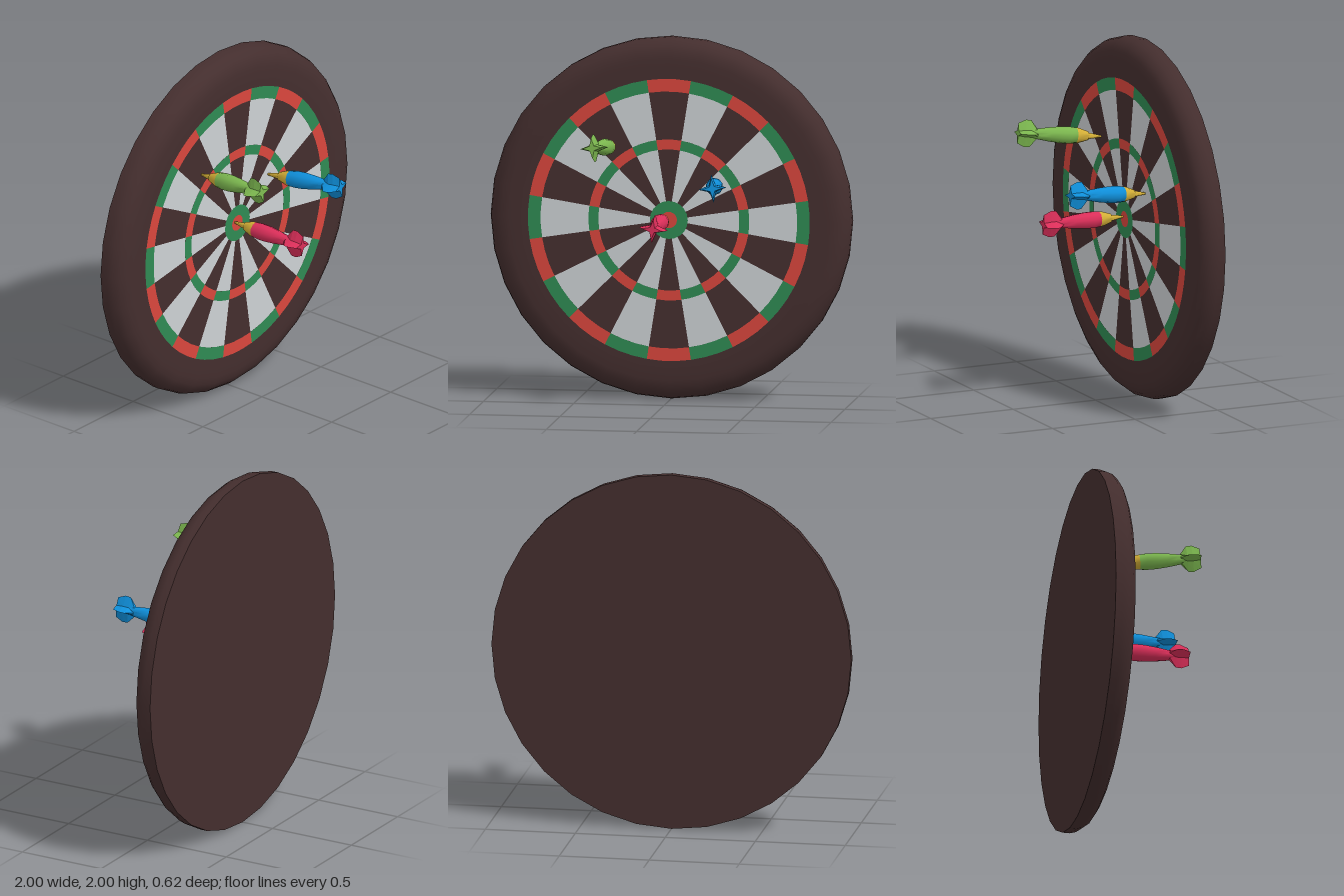
import * as THREE from 'three';
import { mergeGeometries, toCreasedNormals } from 'three/addons/utils/BufferGeometryUtils.js';

const mat = (name, color) => {
  const m = new THREE.MeshStandardMaterial({ color });
  m.name = name;
  return m;
};

const add = (parent, name, geometry, material) => {
  const mesh = new THREE.Mesh(geometry, material);
  mesh.name = name;
  parent.add(mesh);
  return mesh;
};

// Lathe about the z axis from [radius, z] pairs running towards +z
const turned = (profile, sides, crease) => {
  const g = new THREE.LatheGeometry(profile.map(([r, z]) => new THREE.Vector2(r, z)), sides);
  g.rotateX(Math.PI / 2);
  return toCreasedNormals(g, crease);
};

// Four-pointed star cross-sections [z, outer, inner] joined along z, faceted
function flightGeometry(sections) {
  const pos = [];
  const ring = ([z, outer, inner]) => Array.from({ length: 8 }, (_, i) => {
    const a = (i * Math.PI) / 4, r = i % 2 ? inner : outer;
    return [r * Math.cos(a), r * Math.sin(a), z];
  });
  const rings = sections.map(ring);
  const last = rings[rings.length - 1];
  const end = [0, 0, sections[sections.length - 1][0]];
  for (let i = 0; i < 8; i++) {
    const j = (i + 1) % 8;
    for (let k = 0; k < rings.length - 1; k++) {
      const a = rings[k][i], b = rings[k][j], c = rings[k + 1][j], d = rings[k + 1][i];
      pos.push(...a, ...b, ...c, ...a, ...c, ...d);
    }
    pos.push(...last[i], ...last[j], ...end);
  }
  const g = new THREE.BufferGeometry();
  g.setAttribute('position', new THREE.Float32BufferAttribute(pos, 3));
  g.computeVertexNormals();
  return g;
}

export function createModel() {
  const model = new THREE.Group();
  model.name = 'dartboardWithDarts';

  const brown = mat('dark brown', 0x442e2e);
  const white = mat('pale grey', 0xcdd1d4);
  const red = mat('board red', 0xd9463d);
  const green = mat('board green', 0x2f8a53);
  const gold = mat('gold', 0xd4af37);
  const lime = mat('lime', 0x7cb74f);
  const blue = mat('blue', 0x0f8fda);
  const crimson = mat('crimson', 0xdc2f5a);

  // Board with rounded front rim
  const board = new THREE.Group();
  board.name = 'board';
  board.position.y = 1;
  model.add(board);
  add(board, 'backing', turned([
    [0, -0.31], [1, -0.31], [1, -0.27], [0.99, -0.235], [0.965, -0.203],
    [0.93, -0.185], [0.89, -0.178], [0.82, -0.178], [0, -0.178],
  ], 32, 0.7), brown);

  // Painted sectors: odd ones pale with green rings, even ones bare with red rings
  const paint = { pale: [], red: [], green: [] };
  const step = Math.PI / 10;
  for (let i = 0; i < 20; i++) {
    const start = Math.PI / 2 - (i + 0.5) * step;
    const patch = (r0, r1) => new THREE.RingGeometry(r0, r1, 1, 1, start, step);
    const rings = i % 2 ? paint.green : paint.red;
    rings.push(patch(0.39, 0.445), patch(0.71, 0.78));
    if (i % 2) paint.pale.push(patch(0.1, 0.39), patch(0.445, 0.71));
  }
  paint.green.push(new THREE.RingGeometry(0.045, 0.105, 20, 1));
  paint.red.push(new THREE.CircleGeometry(0.045, 20));
  const painted = (name, list, material, z) => {
    add(board, name, mergeGeometries(list), material).position.z = z;
  };
  painted('paleSectors', paint.pale, white, -0.176);
  painted('redScoring', paint.red, red, -0.175);
  painted('greenScoring', paint.green, green, -0.175);

  // Shared dart shapes, point at the origin and tail towards +z
  const point = turned([[0, 0], [0.006, 0.005], [0.019, 0.085]], 10, 0.7);
  const collar = turned([[0, 0.08], [0.024, 0.08], [0.042, 0.135], [0.043, 0.152]], 10, 0.7);
  const barrel = turned([
    [0.043, 0.15], [0.047, 0.19], [0.046, 0.24], [0.04, 0.3],
    [0.031, 0.36], [0.025, 0.4], [0.024, 0.43],
  ], 10, 0.7);
  const flight = flightGeometry([
    [0.375, 0.027, 0.022], [0.415, 0.074, 0.026], [0.445, 0.076, 0.026], [0.488, 0.056, 0.018],
  ]);

  // Three darts: tip and tail positions
  const darts = [
    ['limeDart', lime, [-0.3, 1.4, -0.18], [-0.355, 1.457, 0.305], 0.1],
    ['crimsonDart', crimson, [-0.02, 1.01, -0.18], [-0.02, 1.013, 0.308], -0.12],
    ['blueDart', blue, [0.26, 1.2, -0.18], [0.312, 1.247, 0.305], 0.1],
  ];
  const forward = new THREE.Vector3(0, 0, 1);
  for (const [name, material, tip, tail, roll] of darts) {
    const dart = new THREE.Group();
    dart.name = name;
    dart.position.set(...tip);
    const dir = new THREE.Vector3(...tail).sub(dart.position).normalize();
    dart.quaternion.setFromUnitVectors(forward, dir);
    dart.rotateZ(roll);
    add(dart, 'point', point, gold);
    add(dart, 'collar', collar, gold);
    add(dart, 'barrel', barrel, material);
    add(dart, 'flight', flight, material);
    model.add(dart);
  }
  return model;
}
